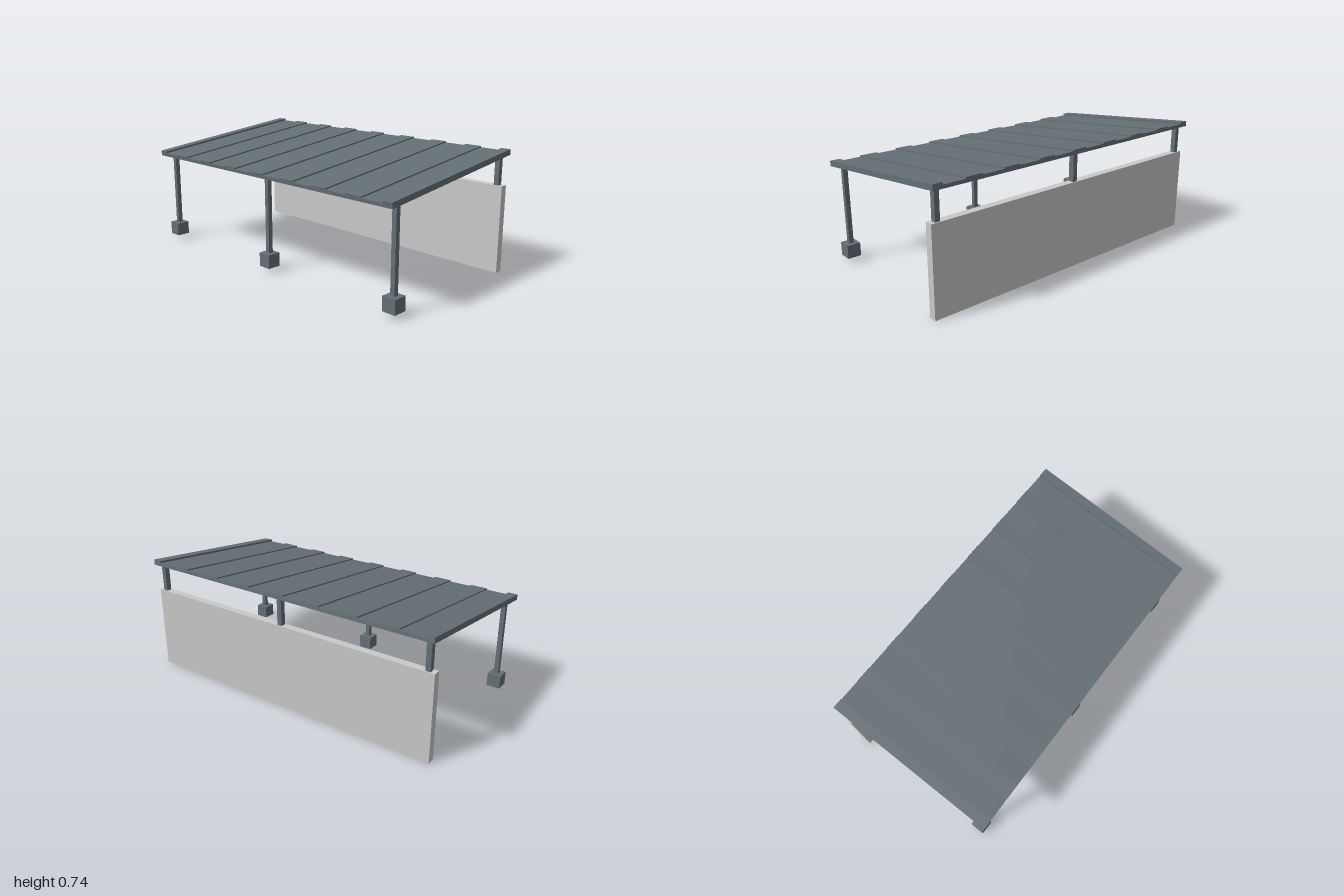
import * as THREE from 'three';

export function createModel() {
  const model = new THREE.Group();
  model.name = 'carport';
  const steel = new THREE.MeshStandardMaterial({ color: 0x646f75 });
  steel.name = 'slate grey steel';
  const concrete = new THREE.MeshStandardMaterial({ color: 0xc9c9c9 });
  concrete.name = 'light grey concrete';

  // Box given by its minimum and maximum corners
  function box(parent, name, material, [x0, y0, z0], [x1, y1, z1]) {
    const mesh = new THREE.Mesh(new THREE.BoxGeometry(x1 - x0, y1 - y0, z1 - z0), material);
    mesh.position.set((x0 + x1) / 2, (y0 + y1) / 2, (z0 + z1) / 2);
    mesh.name = name;
    parent.add(mesh);
  }

  // Back wall
  box(model, 'backWall', concrete, [-1, 0, -0.511], [1, 0.53, -0.464]);

  // Front posts on footings, short back posts on the wall
  for (const x of [-0.957, 0, 0.957]) {
    box(model, 'footing', steel, [x - 0.042, 0.026, 0.41], [x + 0.042, 0.11, 0.494]);
    box(model, 'frontPost', steel, [x - 0.014, 0.11, 0.438], [x + 0.014, 0.6, 0.466]);
    box(model, 'backPost', steel, [x - 0.015, 0.53, -0.504], [x + 0.015, 0.705, -0.472]);
  }

  // Sloping roof, built flat around its own centre and then tilted
  const roof = new THREE.Group();
  roof.name = 'roof';
  roof.position.y = 0.662;
  roof.rotation.x = 0.1135;
  model.add(roof);
  const half = 0.541, bottom = -0.0165, panTop = 0.004;
  box(roof, 'roofDeck', steel, [-0.94, bottom, -half], [0.94, panTop, half]);

  // Raised ribs of the roof sheet
  for (let i = -3; i <= 3; i++) {
    const x = i * 0.25;
    box(roof, 'roofRib', steel, [x - 0.053, panTop, -half], [x + 0.053, 0.012, half]);
  }

  // Edge trims along both sides
  for (const s of [-1, 1]) {
    const a = s * 0.94, b = s;
    box(roof, 'edgeTrim', steel, [Math.min(a, b), bottom, -half], [Math.max(a, b), 0.0165, half]);
  }
  return model;
}
